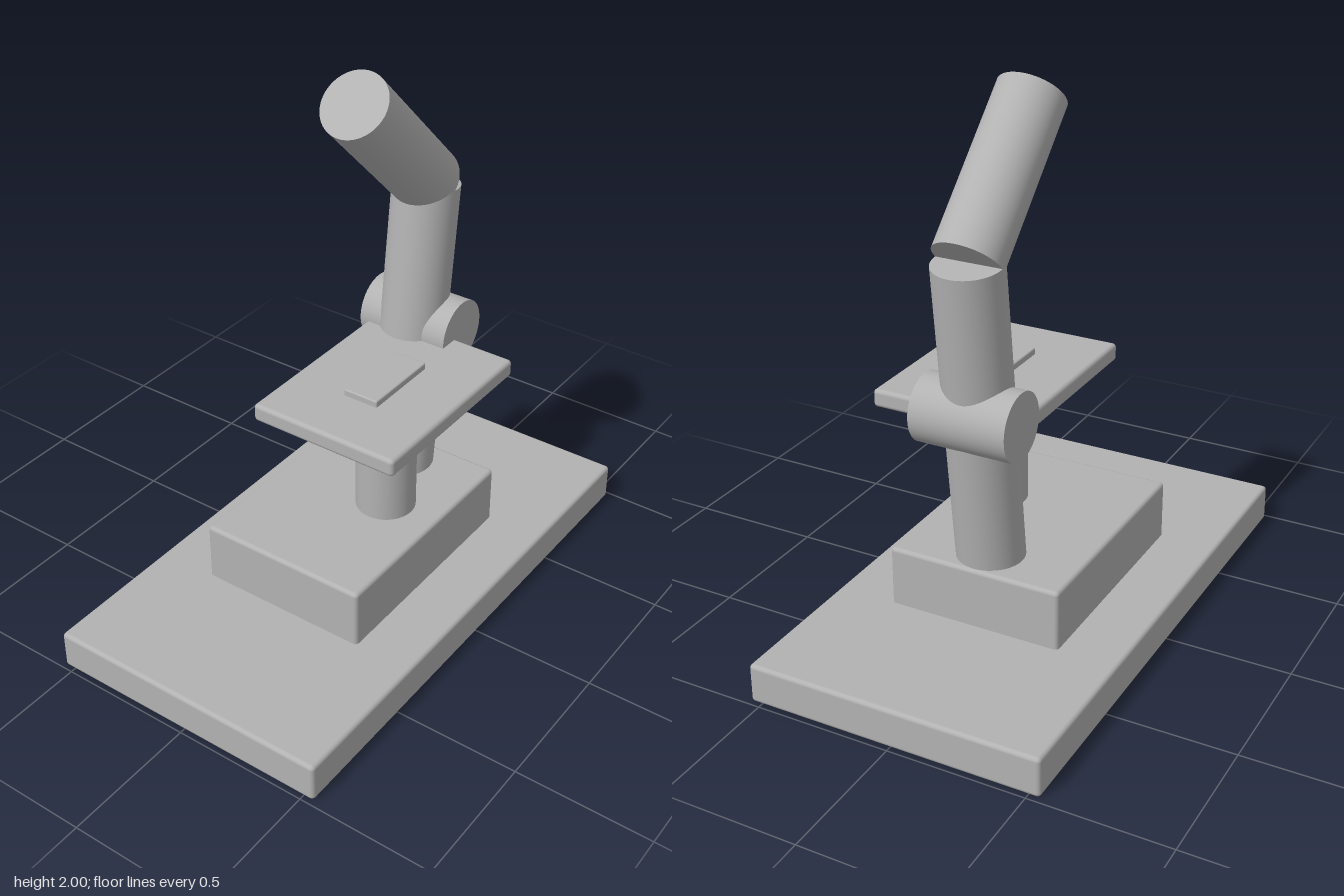
import * as THREE from 'three';
import { RoundedBoxGeometry } from 'three/addons/geometries/RoundedBoxGeometry.js';

export function createModel() {
  const model = new THREE.Group();
  model.name = 'microscope';

  const grey = new THREE.MeshStandardMaterial({ color: 0xb2b2b2 });
  grey.name = 'plain grey';

  const add = (name, geometry) => {
    const mesh = new THREE.Mesh(geometry, grey);
    mesh.name = name;
    model.add(mesh);
    return mesh;
  };

  // Softly bevelled slab given by its size, centre and bevel radius
  const slab = (name, [w, h, d], [x, y, z], bevel) =>
    add(name, new RoundedBoxGeometry(w, h, d, 3, bevel)).position.set(x, y, z);

  // Closed round bar running between two points
  const bar = (name, from, to, radius) => {
    const a = new THREE.Vector3(...from);
    const b = new THREE.Vector3(...to);
    const mesh = add(name, new THREE.CylinderGeometry(radius, radius, a.distanceTo(b), 64));
    mesh.position.copy(a).add(b).multiplyScalar(0.5);
    mesh.quaternion.setFromUnitVectors(new THREE.Vector3(0, 1, 0), b.sub(a).normalize());
  };

  // Stand
  slab('base', [1.97, 0.145, 1.084], [0, 0.0775, 0], 0.015);
  slab('pedestal', [0.88, 0.3, 0.65], [-0.002, 0.22, 0], 0.015);

  // Specimen stage and slide
  slab('stage', [0.744, 0.066, 0.566], [-0.002, 0.893, 0.133], 0.015);
  slab('slide', [0.298, 0.03, 0.134], [-0.003, 0.935, 0.133], 0.006);

  // Light source below the stage
  bar('lamp', [-0.002, 0.414, 0.14], [-0.002, 0.658, 0.14], 0.108);

  // Leaning arm, focus knob through it, and tilted viewing tube
  bar('arm', [0.302, 0.35, 0], [0.432, 1.473, 0], 0.121);
  bar('focusKnob', [0.408, 0.934, -0.176], [0.408, 0.934, 0.18], 0.121);
  bar('viewingTube', [0.434, 1.481, 0], [0, 1.915, 0], 0.121);

  return model;
}
